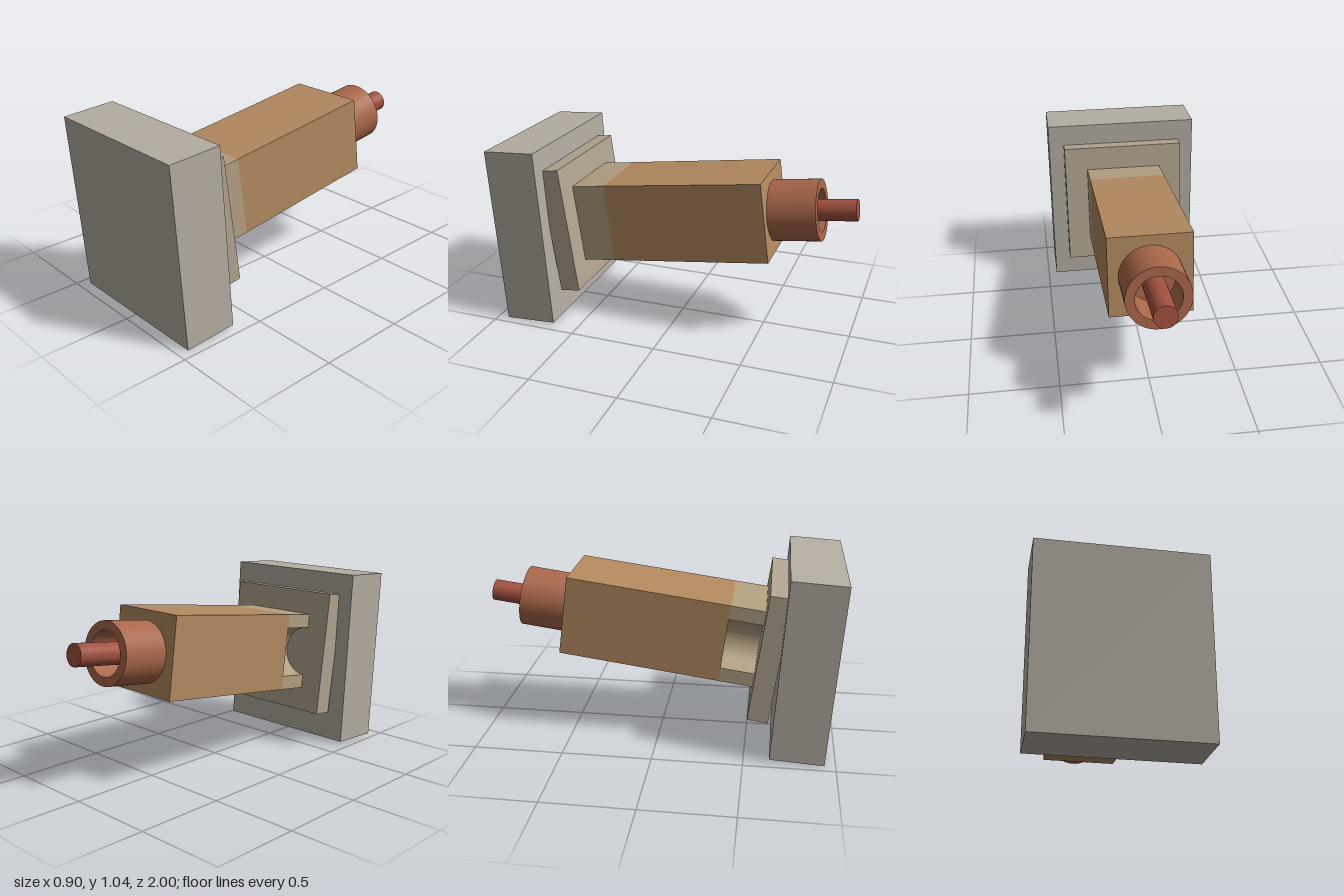
import * as THREE from 'three';
import { toCreasedNormals } from 'three/addons/utils/BufferGeometryUtils.js';

const TILT = 0.132; // upward tilt of the arm toward the back

function part(name, geometry, color) {
  const mesh = new THREE.Mesh(geometry, new THREE.MeshStandardMaterial({ color }));
  mesh.name = name;
  return mesh;
}

// Box spanning z0..z1 along the local axis
function block(w, h, z0, z1) {
  return new THREE.BoxGeometry(w, h, z1 - z0).translate(0, 0, (z0 + z1) / 2);
}

// Lathe profile of [radius, distance toward the back]
function turned(points) {
  const lathe = new THREE.LatheGeometry(points.map(([r, d]) => new THREE.Vector2(r, d)), 64);
  return toCreasedNormals(lathe.rotateX(-Math.PI / 2), 0.6);
}

// Front section of the arm, with a half-round recess in its right side
function recessedSection(half, radius, z0, z1) {
  const s = new THREE.Shape();
  s.moveTo(-half, -half);
  s.lineTo(half, -half);
  s.lineTo(half, half);
  s.lineTo(-half, half);
  s.lineTo(-half, radius);
  s.absarc(-half, 0, radius, Math.PI / 2, -Math.PI / 2, true);
  s.closePath();
  const g = new THREE.ExtrudeGeometry(s, { depth: z1 - z0, bevelEnabled: false, curveSegments: 32 });
  return toCreasedNormals(g.translate(0, 0, z0), 0.6);
}

export function createModel() {
  const model = new THREE.Group();
  model.name = 'mountedArm';

  // Large front plate, tilted a little less than the arm
  const frontPlate = part('frontPlate', new THREE.BoxGeometry(0.9, 1.02, 0.298), 0xb5aea2);
  frontPlate.position.set(0, 0.519, 0.821);
  frontPlate.rotation.x = 0.06;
  model.add(frontPlate);

  // Everything else shares one tilted axis
  const arm = new THREE.Group();
  arm.name = 'armAssembly';
  arm.position.set(0, 0.639, 0.012);
  arm.rotation.x = TILT;
  model.add(arm);

  arm.add(part('mountingPlate', block(0.72, 0.725, 0.551, 0.666), 0xb3a590));
  arm.add(part('armFront', recessedSection(0.225, 0.145, 0.36, 0.551), 0xb3a082));
  arm.add(part('armBody', block(0.45, 0.45, -0.551, 0.36), 0xb38a60));

  // Hollow collar and the pin standing out of it
  arm.add(part('collar', turned([
    [0.17, 0.551], [0.17, 0.816], [0.12, 0.816], [0.12, 0.6], [0, 0.6],
  ]), 0xa9674a));
  arm.add(part('pin', turned([[0.06, 0.59], [0.06, 1.01], [0, 1.01]]), 0xa0503f));

  return model;
}
